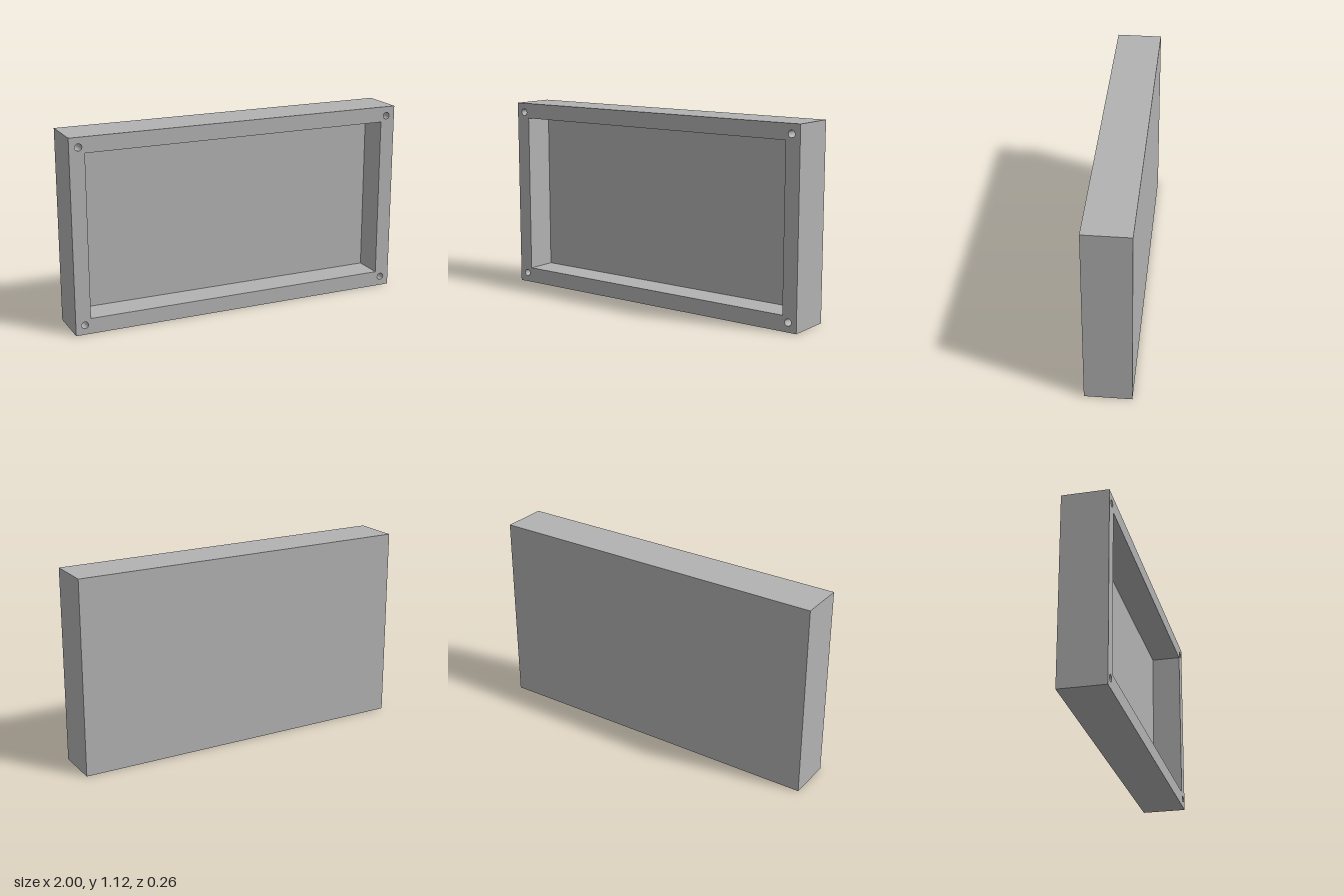
import * as THREE from 'three';

const W = 2, H = 1.118, D = 0.264;            // outer size
const CW = 1.824, CH = 0.938, CD = 0.178;     // cavity size
const HX = 0.947, HY = 0.504, HR = 0.02, HD = 0.176; // screw holes

// Box without its front (+z) face
function openBox(w, h, d) {
  const g = new THREE.BoxGeometry(w, h, d);
  const index = Array.from(g.index.array);
  index.splice(24, 6);
  g.setIndex(index);
  g.clearGroups();
  return g;
}

// Turn a geometry inside out, so it reads as a recess
function inward(g) {
  g.setIndex(Array.from(g.index.array).reverse());
  const n = g.attributes.normal;
  for (let i = 0; i < n.count; i++) n.setXYZ(i, -n.getX(i), -n.getY(i), -n.getZ(i));
  return g;
}

function rectangle(target, w, h) {
  target.moveTo(-w / 2, -h / 2);
  target.lineTo(w / 2, -h / 2);
  target.lineTo(w / 2, h / 2);
  target.lineTo(-w / 2, h / 2);
  target.closePath();
  return target;
}

export function createModel() {
  const model = new THREE.Group();
  model.name = 'enclosure';
  const grey = new THREE.MeshStandardMaterial({ color: 0xb2b2b2 });
  grey.name = 'grey';

  const add = (name, geometry, x, y, z) => {
    const mesh = new THREE.Mesh(geometry, grey);
    mesh.name = name;
    mesh.position.set(x, y + H / 2, z);
    model.add(mesh);
  };

  // Outer walls and back
  add('outerShell', openBox(W, H, D), 0, 0, 0);

  // Recessed tray: inner walls and floor
  add('cavity', inward(openBox(CW, CH, CD)), 0, 0, D / 2 - CD / 2);

  // Front rim, pierced by the cavity and the corner holes
  const rim = rectangle(new THREE.Shape(), W, H);
  rim.holes.push(rectangle(new THREE.Path(), CW, CH));

  for (const sx of [-1, 1]) {
    for (const sy of [-1, 1]) {
      const x = sx * HX, y = sy * HY;
      rim.holes.push(new THREE.Path().absarc(x, y, HR, 0, Math.PI * 2, true));

      // Blind screw hole: round wall and flat bottom
      const wall = new THREE.CylinderGeometry(HR, HR, HD, 32, 1, true).rotateX(Math.PI / 2);
      add('screwHoleWall', inward(wall), x, y, D / 2 - HD / 2);
      add('screwHoleBottom', new THREE.CircleGeometry(HR, 32), x, y, D / 2 - HD);
    }
  }
  add('frontRim', new THREE.ShapeGeometry(rim, 16), 0, 0, D / 2);

  return model;
}
